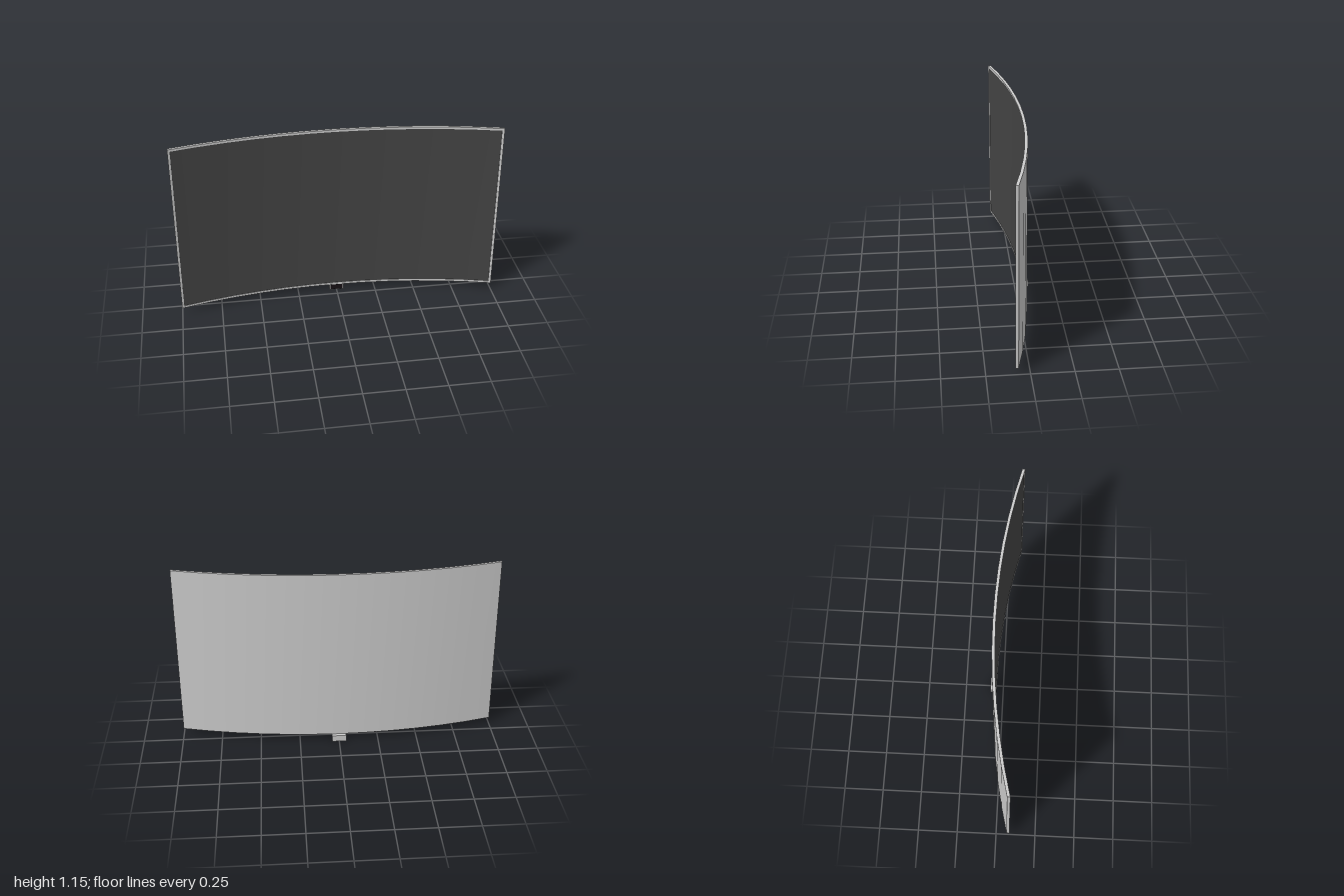
import * as THREE from 'three';

const BOTTOM = 0.042, TOP = 1.155, BEZEL = 0.014;
const RADIUS = 3.94, Z_BACK = -0.062;

// Depth of the panel's back at a given x, along a circular arc
const arcZ = x => Z_BACK + RADIUS - Math.sqrt(RADIUS * RADIUS - x * x);

// Slab between two corners (z measured forward from the arc), bent to the curve
function bentSlab(name, material, x0, x1, y0, y1, z0, z1, segments = 1) {
  const g = new THREE.BoxGeometry(x1 - x0, y1 - y0, z1 - z0, segments, 1, 1);
  g.translate((x0 + x1) / 2, (y0 + y1) / 2, (z0 + z1) / 2);
  const p = g.attributes.position;
  for (let i = 0; i < p.count; i++) p.setZ(i, p.getZ(i) + arcZ(p.getX(i)));
  g.computeVertexNormals();
  const mesh = new THREE.Mesh(g, material);
  mesh.name = name;
  return mesh;
}

function box(name, material, w, h, d, x, y, z) {
  const mesh = new THREE.Mesh(new THREE.BoxGeometry(w, h, d), material);
  mesh.name = name;
  mesh.position.set(x, y, z);
  return mesh;
}

export function createModel() {
  const grey = new THREE.MeshStandardMaterial({ color: 0xcccccc });
  const screenDark = new THREE.MeshStandardMaterial({ color: 0x444444 });
  const black = new THREE.MeshStandardMaterial({ color: 0x181216 });
  const model = new THREE.Group();
  model.name = 'curvedTelevision';

  // Back shell and slightly recessed screen
  model.add(bentSlab('backShell', grey, -1, 1, BOTTOM, TOP, 0, 0.014, 12));
  model.add(bentSlab('screen', screenDark, -1 + BEZEL, 1 - BEZEL,
    BOTTOM + BEZEL, TOP - BEZEL, 0.01, 0.0155, 12));

  // Bezel: long strips, then short strips between them
  const bezel = new THREE.Group();
  bezel.name = 'bezel';
  bezel.add(bentSlab('bezelTop', grey, -1, 1, TOP - BEZEL, TOP, 0.014, 0.018, 12));
  bezel.add(bentSlab('bezelBottom', grey, -1, 1, BOTTOM, BOTTOM + BEZEL, 0.014, 0.018, 12));
  for (const [name, x] of [['bezelRight', -1], ['bezelLeft', 1 - BEZEL]])
    bezel.add(bentSlab(name, grey, x, x + BEZEL, BOTTOM + BEZEL, TOP - BEZEL, 0.014, 0.018));
  model.add(bezel);

  // Small receiver block under the panel with a dark window
  model.add(box('receiverBlock', grey, 0.09, 0.042, 0.036, 0, 0.021, -0.067));
  model.add(box('receiverWindow', black, 0.08, 0.034, 0.004, 0, 0.021, -0.049));

  return model;
}
